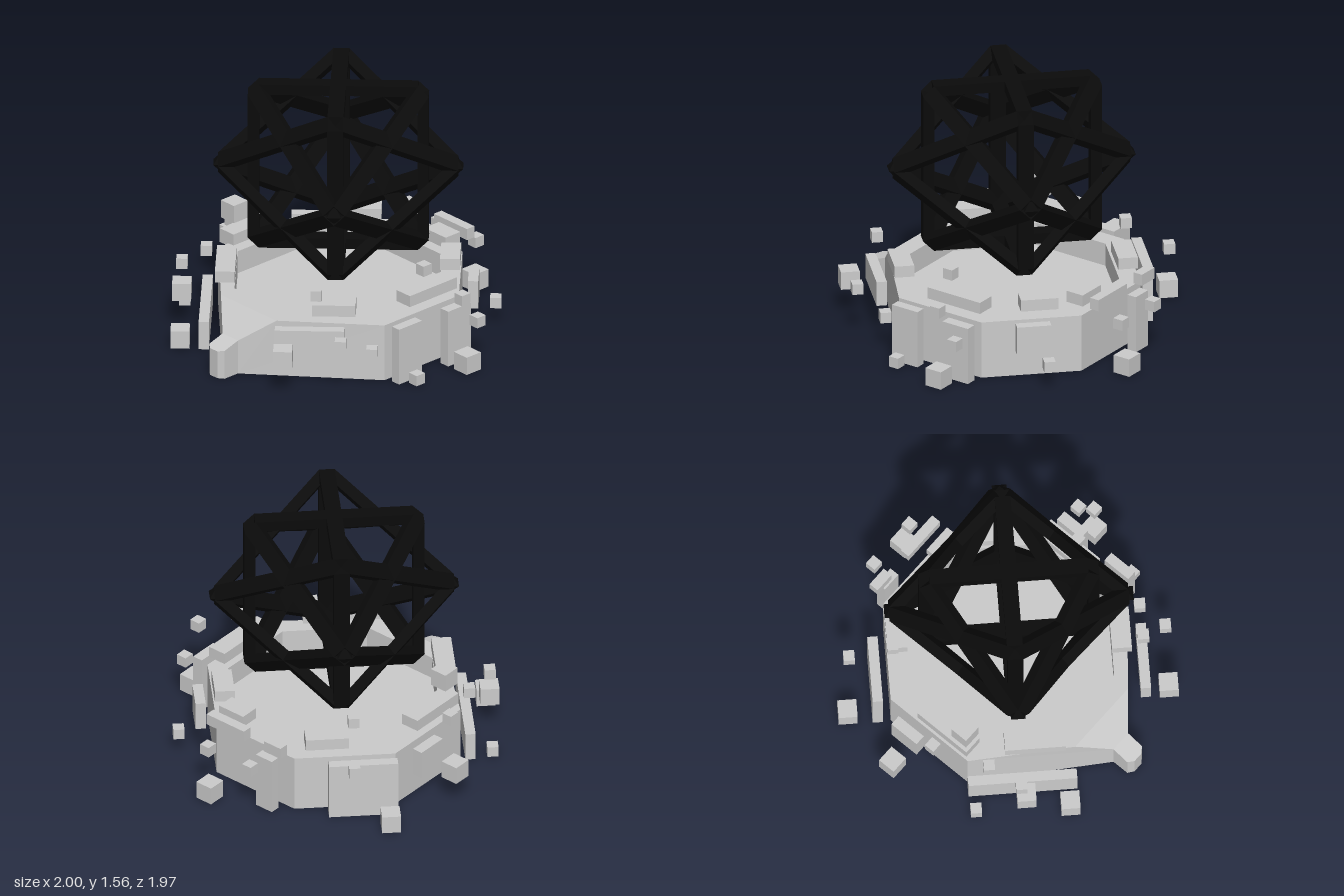
import * as THREE from 'three';

const grey = new THREE.MeshStandardMaterial({ color: 0xcccccc, flatShading: true, side: THREE.DoubleSide });
const black = new THREE.MeshStandardMaterial({ color: 0x0b0b0b, flatShading: true });
const V = (x, y, z) => new THREE.Vector3(x, y, z);

function add(parent, geometry, name, material = grey) {
  const mesh = new THREE.Mesh(geometry, material);
  mesh.name = name;
  parent.add(mesh);
  return mesh;
}

// Flat polygons, each split as a fan
function panels(faces) {
  const points = [];
  for (const f of faces)
    for (let i = 1; i < f.length - 1; i++) points.push(f[0], f[i], f[i + 1]);
  const g = new THREE.BufferGeometry().setFromPoints(points);
  g.computeVertexNormals();
  return g;
}

// Corner of an octagon with the given apothem
function corner(apothem, i, y) {
  const a = (i - 0.5) * Math.PI / 4, r = apothem / Math.cos(Math.PI / 8);
  return V(r * Math.sin(a), y, r * Math.cos(a));
}

// Octagonal basin, open underneath, its two front walls running on to a spout
function buildBase(parent) {
  const base = new THREE.Group();
  base.name = 'base';
  const R = 0.705, r = 0.59, top = 0.35, floor = 0.21;
  const w = 0.235, s = 0.065, zn = 0.85, yn = 0.21;
  const outer = i => {
    const p = corner(R, i, top);
    if (i % 8 < 2) p.x = Math.sign(p.x) * w;
    return p;
  };
  const rim = [], walls = [], lining = [], deck = [];
  for (let i = 0; i < 8; i++) {
    const n0 = corner(r, i, top), n1 = corner(r, i + 1, top);
    rim.push([outer(i), outer(i + 1), n1, n0]);
    if (i > 1 && i < 7) walls.push([corner(R, i, 0), corner(R, i + 1, 0), outer(i + 1), outer(i)]);
    lining.push([n0, n1, corner(r, i + 1, floor), corner(r, i, floor)]);
    deck.push(corner(r, i, floor));
  }
  walls.push([V(s, 0, zn), corner(R, 2, 0), outer(2), outer(1), V(s, yn, zn)]);
  walls.push([V(-s, yn, zn), outer(0), outer(7), corner(R, 7, 0), V(-s, 0, zn)]);
  add(base, panels(rim), 'rim');
  add(base, panels(walls), 'outerWalls');
  add(base, panels(lining), 'innerWalls');
  add(base, panels([deck]), 'floor');
  add(base, panels([[V(-s, yn, zn), V(s, yn, zn), outer(1), outer(0)]]), 'nose');

  // Spout with chamfered tip and a top falling forward
  const outline = new THREE.Shape([[-s, -zn], [s, -zn], [s, -0.955], [0.03, -0.98], [-0.03, -0.98], [-s, -0.955]]
    .map(p => new THREE.Vector2(...p)));
  const spout = new THREE.ExtrudeGeometry(outline, { depth: yn, bevelEnabled: false }).rotateX(-Math.PI / 2);
  const p = spout.attributes.position;
  for (let i = 0; i < p.count; i++)
    if (p.getY(i) > 0.1) p.setY(i, yn - 0.3 * (p.getZ(i) - zn));
  spout.computeVertexNormals();
  add(base, spout, 'spout');
  base.position.x = 0.015;
  parent.add(base);
}

// Open lattice: two crossed octahedra of flat bars facing away from the centre
function buildLattice(parent) {
  const lattice = new THREE.Group();
  lattice.name = 'lattice';
  const radius = 0.692, h = radius * Math.SQRT1_2, inset = 0.03;

  function bar(octahedron, a, b, name) {
    const dir = b.clone().sub(a), length = dir.length();
    dir.normalize();
    const middle = a.clone().add(b).multiplyScalar(0.5);
    const normal = middle.clone().normalize();
    const side = new THREE.Vector3().crossVectors(dir, normal);
    const m = add(octahedron, new THREE.BoxGeometry(0.092, length - 2 * inset, 0.064), name, black);
    m.quaternion.setFromRotationMatrix(new THREE.Matrix4().makeBasis(side, dir, normal));
    m.position.copy(middle);
  }

  for (const turn of [1, -1]) {
    const octahedron = new THREE.Group();
    octahedron.name = 'octahedron';
    const ring = [V(0, h, h), V(0, -h, h), V(0, -h, -h), V(0, h, -h)];
    for (let i = 0; i < 4; i++) bar(octahedron, ring[i], ring[(i + 1) % 4], 'ringBar');
    for (const x of [-radius, radius]) {
      for (const corner of ring) bar(octahedron, V(x, 0, 0), corner, 'brace');
      const joint = add(octahedron, new THREE.OctahedronGeometry(0.06), 'tip', black);
      joint.position.x = x * 0.98;
      joint.rotation.y = Math.PI / 4;
    }
    octahedron.rotation.y = turn * Math.PI / 4;
    lattice.add(octahedron);
  }
  lattice.position.set(0.015, 1.038, 0);
  parent.add(lattice);
}

// Slabs set round the octagon: [side in eighths, distance, shift, length, depth, bottom, top]
const slabs = [
  [-1, 0.764, 0.02, 0.63, 0.06, 0, 0.175],
  [1, 0.767, -0.138, 0.4, 0.06, 0.2, 0.35],
  [3, 0.78, 0, 0.2, 0.06, 0.175, 0.35],
  [5, 0.78, 0.1, 0.4, 0.06, 0, 0.35],
  [4, 0.785, 0.155, 0.12, 0.06, 0, 0.35],
  [4, 0.785, 0.217, 0.125, 0.06, 0.4, 0.47],
  [4, 0.785, -0.135, 0.28, 0.06, 0.4, 0.47],
  [6, 0.785, -0.095, 0.19, 0.065, 0.175, 0.35],
  [2, 0.79, 0.19, 0.18, 0.065, 0, 0.35],
  [2, 0.775, -0.18, 0.18, 0.06, 0, 0.35],
  [2, 0.645, 0.095, 0.37, 0.115, 0.4, 0.47],
  [4, 0.645, -0.185, 0.18, 0.115, 0.4, 0.47],
  [6, 0.645, 0.095, 0.37, 0.115, 0.4, 0.47],
  [1, 0.645, 0, 0.25, 0.115, 0.4, 0.47],
  [3, 0.645, 0.05, 0.22, 0.115, 0.4, 0.47],
  [5, 0.645, -0.1, 0.25, 0.115, 0.4, 0.47],
  [-1, 0.645, 0.1, 0.35, 0.115, 0.4, 0.47],
];

// Loose cubes: [x, y, z, size, turned by an eighth]
const cubes = [
  [-0.945, 0.235, -0.06, 0.11, 0], [0.945, 0.06, -0.15, 0.11, 0],
  [0.925, 0.46, -0.13, 0.065, 0], [0.925, 0.28, -0.25, 0.065, 0],
  [0.885, 0.04, 0.19, 0.065, 0], [-0.115, 0.32, -0.91, 0.065, 0],
  [0.17, 0.06, -0.93, 0.11, 0], [0.2, 0.32, -0.91, 0.065, 0],
  [-0.63, 0.595, 0.22, 0.11, 0], [0.685, 0.59, -0.05, 0.065, 0],
  [-0.775, 0.435, 0.1, 0.065, 0],
  [-0.83, 0.06, -0.5, 0.11, 1], [-0.6, 0.24, 0.66, 0.11, 1],
  [-0.42, 0.06, 0.84, 0.11, 1], [0.45, 0.235, 0.84, 0.11, 1],
  [-0.665, 0.4, -0.63, 0.065, 1], [0.605, 0.145, -0.69, 0.065, 1],
  [0.72, 0.21, 0.39, 0.065, 1], [0.69, 0.32, 0.61, 0.065, 1],
  [-0.8, 0.04, 0.45, 0.065, 1], [-0.65, 0.4, 0.42, 0.065, 1],
  [0.49, 0.575, 0.615, 0.065, 1], [-0.5, 0.575, -0.44, 0.065, 1],
  [-0.62, 0.4, 0.64, 0.065, 1],
];

function buildDebris(parent) {
  const debris = new THREE.Group();
  debris.name = 'floatingBlocks';
  for (const [side, d, s, length, depth, y0, y1] of slabs) {
    const a = side * Math.PI / 4;
    const m = add(debris, new THREE.BoxGeometry(length, y1 - y0, depth), 'slab');
    m.position.set(0.015 + d * Math.sin(a) + s * Math.cos(a), (y0 + y1) / 2, d * Math.cos(a) - s * Math.sin(a));
    m.rotation.y = a;
  }
  for (const [x, y, z, size, turn] of cubes) {
    const m = add(debris, new THREE.BoxGeometry(size, size, size), 'cube');
    m.position.set(x, y, z);
    m.rotation.y = turn * Math.PI / 4;
  }
  parent.add(debris);
}

export function createModel() {
  const model = new THREE.Group();
  model.name = 'latticeOnBasin';
  buildBase(model);
  buildLattice(model);
  buildDebris(model);
  return model;
}
